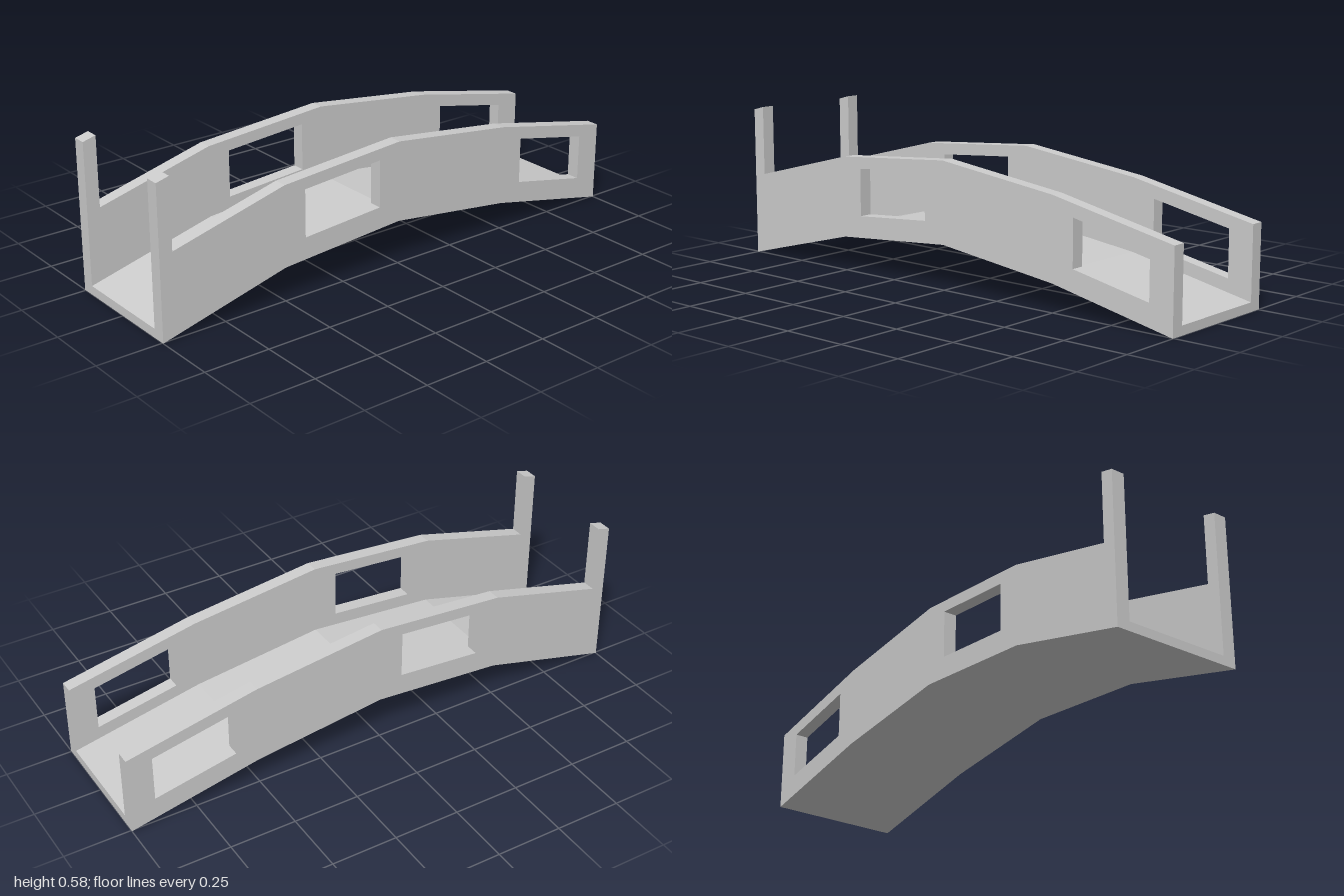
import * as THREE from 'three';

const INNER = 0.204, OUTER = 0.255;
// Arched underside as [z, y], front to back
const ARCH = [[1, 0.003], [0.5, 0.132], [0, 0.17], [-0.5, 0.107], [-1, 0.003]];
const FLOOR = 0.034, WALL = 0.305;

// Window openings as [z, y] corners
const WINDOWS = [
  [[0.415, 0.221], [0.088, 0.246], [0.088, 0.425], [0.415, 0.4]],
  [[-0.59, 0.17], [-0.905, 0.106], [-0.905, 0.28], [-0.59, 0.345]],
];

const toPoints = (list) => list.map(([z, y]) => new THREE.Vector2(-z, y));
const raised = (h) => ARCH.map(([z, y]) => [z, y + h]).reverse();

// Extrude a side profile across x, from x0 to x1
function extrudeAcross(profile, holes, x0, x1) {
  const shape = new THREE.Shape(toPoints(profile));
  for (const hole of holes) shape.holes.push(new THREE.Path(toPoints(hole)));
  const geometry = new THREE.ExtrudeGeometry(shape, { depth: x1 - x0, bevelEnabled: false });
  return geometry.rotateY(Math.PI / 2).translate(x0, 0, 0);
}

export function createModel() {
  const group = new THREE.Group();
  group.name = 'archedBridge';
  const material = new THREE.MeshStandardMaterial({ color: 0xcccccc, flatShading: true });
  const add = (name, geometry) => {
    const mesh = new THREE.Mesh(geometry, material);
    mesh.name = name;
    group.add(mesh);
  };

  // Deck following the arch
  add('deck', extrudeAcross([...ARCH, ...raised(FLOOR)], [], -INNER, INNER));

  // Side walls with two windows and a slanted-top post at the front end
  const top = raised(WALL).slice(0, -1);
  const post = [[0.95, 0.321], [0.95, 0.585], [1, 0.572]];
  const wall = [...ARCH, ...top, ...post];
  add('leftWall', extrudeAcross(wall, WINDOWS, INNER, OUTER));
  add('rightWall', extrudeAcross(wall, WINDOWS, -OUTER, -INNER));

  // Rest the ends on the ground
  for (const mesh of group.children) mesh.geometry.translate(0, -ARCH[0][1], 0);
  return group;
}
